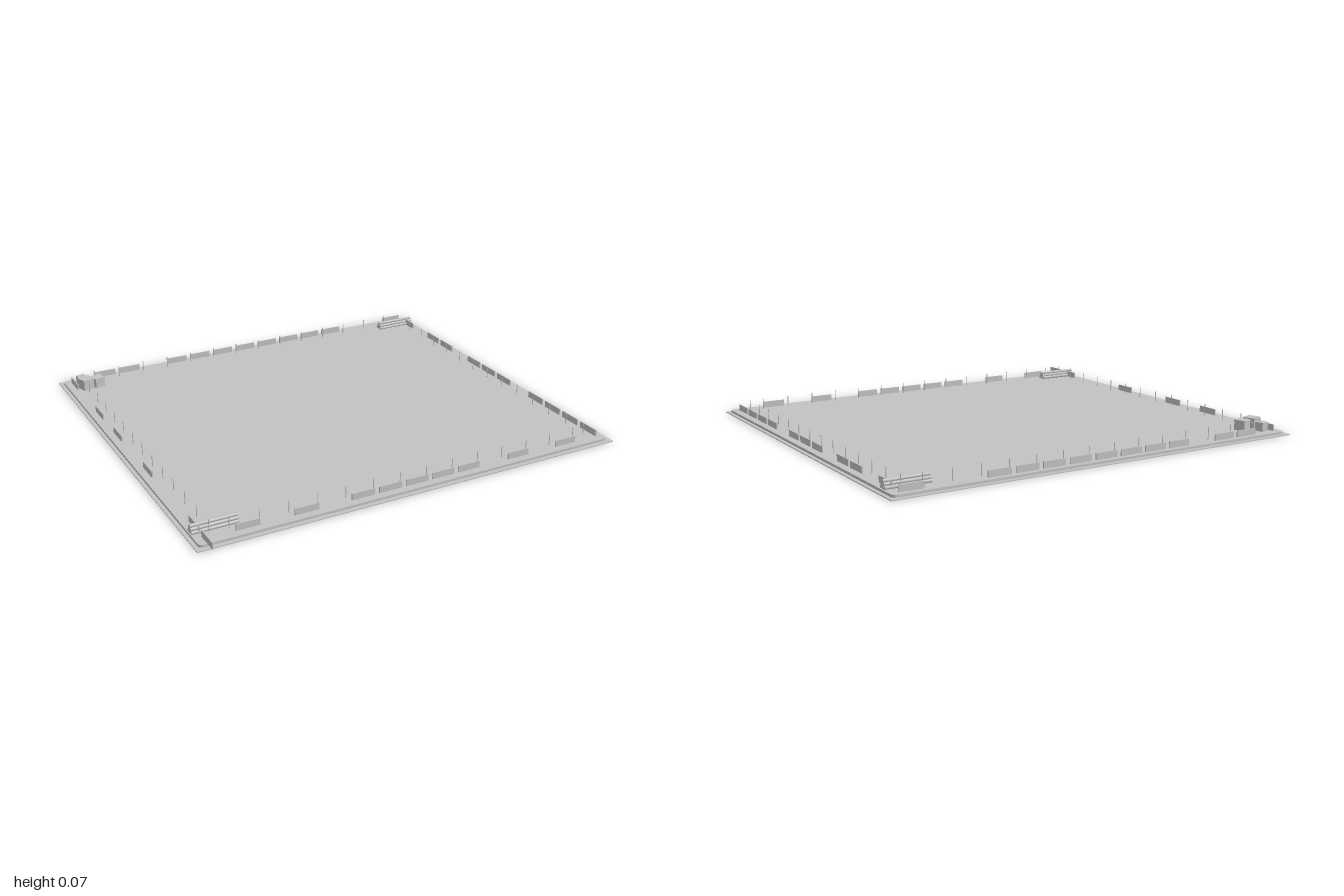
import * as THREE from 'three';

const grey = new THREE.MeshStandardMaterial({ color: 0xc2c2c2 });
grey.name = 'plain grey';

const DECK = 0.015; // height of the deck surface

function add(parent, name, geometry, x, y, z, ry = 0) {
  const mesh = new THREE.Mesh(geometry, grey);
  mesh.name = name;
  mesh.position.set(x, y, z);
  mesh.rotation.y = ry;
  parent.add(mesh);
  return mesh;
}

function group(parent, name) {
  const g = new THREE.Group();
  g.name = name;
  parent.add(g);
  return g;
}

// Rectangle with rounded corners, extruded upwards
function roundedSlab(w, d, r, h) {
  const s = new THREE.Shape();
  const x = w / 2, y = d / 2;
  s.moveTo(-x + r, -y);
  s.absarc(x - r, -y + r, r, -Math.PI / 2, 0);
  s.absarc(x - r, y - r, r, 0, Math.PI / 2);
  s.absarc(-x + r, y - r, r, Math.PI / 2, Math.PI);
  s.absarc(-x + r, -y + r, r, Math.PI, Math.PI * 1.5);
  const g = new THREE.ExtrudeGeometry(s, { depth: h, bevelEnabled: false, curveSegments: 5 });
  return g.rotateX(-Math.PI / 2);
}

export function createModel() {
  const model = new THREE.Group();
  model.name = 'fencedLot';

  // Ground sheet and raised deck
  add(model, 'ground', new THREE.BoxGeometry(2, 0.004, 1.8), 0, 0.002, 0);
  add(model, 'deck', roundedSlab(1.966, 1.76, 0.02, DECK - 0.003), 0, 0.003, 0);

  // Barrier panels: each side has a start, a fixed pitch and filled slots
  const pitch = 0.1283;
  const panel = new THREE.BoxGeometry(0.107, 0.029, 0.005);
  const sides = [
    { name: 'backBarrier', at: -0.853, start: -0.775, slots: [0, 1, 3, 4, 5, 6, 7, 8, 9, 10, 13] },
    { name: 'frontBarrier', at: 0.842, start: -0.765, slots: [0, 2, 4, 5, 6, 7, 8, 10, 12] },
    { name: 'leftBarrier', at: 0.947, start: -0.75, slots: [0, 2, 3, 5, 6, 7, 9, 10, 11, 12], along: true },
    { name: 'rightBarrier', at: -0.947, start: -0.794, slots: [0, 3, 5, 8, 12, 13], along: true },
  ];
  const barriers = group(model, 'barriers');
  for (const { name, at, start, slots, along } of sides) {
    for (const k of slots) {
      const t = start + k * pitch;
      if (along) add(barriers, name, panel, at, DECK + 0.0145, t, Math.PI / 2);
      else add(barriers, name, panel, t, DECK + 0.0145, at);
    }
  }

  // Thin posts just inside the barriers
  const post = new THREE.CylinderGeometry(0.0018, 0.0018, 0.053, 6);
  const posts = group(model, 'posts');
  for (let i = 0; i < 14; i++) {
    const x = -0.84 + i * pitch, z = -0.8 + i * 0.123;
    add(posts, 'backPost', post, x, DECK + 0.0265, -0.82);
    add(posts, 'frontPost', post, x + 0.01, DECK + 0.0265, 0.812);
    add(posts, 'leftPost', post, 0.909, DECK + 0.0265, z);
    add(posts, 'rightPost', post, -0.909, DECK + 0.0265, z);
  }

  // Pyramid piles of pipes in two opposite corners
  const r = 0.0074;
  const pipe = new THREE.CylinderGeometry(r, r, 0.2, 8).rotateZ(Math.PI / 2);
  for (const [x, z] of [[0.877, -0.783], [-0.879, 0.775]]) {
    const pile = group(model, 'pipePile');
    for (let row = 0; row < 3; row++) {
      for (let i = 0; i < 3 - row; i++) {
        add(pile, 'pipe', pipe, x, DECK + r + row * r * 1.6, z + (i - (2 - row) / 2) * 2 * r);
      }
    }
  }

  // Crates with lids in the remaining back corner: x, z, size, height, turn
  const crates = group(model, 'crates');
  for (const [x, z, s, h, turn] of [
    [-0.904, -0.752, 0.058, 0.052, 0.3],
    [-0.845, -0.754, 0.054, 0.047, 0.3],
    [-0.906, -0.813, 0.042, 0.04, 0.2],
  ]) {
    add(crates, 'crate', new THREE.BoxGeometry(s * 0.96, h - 0.008, s * 0.96), x, DECK + (h - 0.008) / 2, z, turn);
    add(crates, 'crateLid', new THREE.BoxGeometry(s, 0.008, s), x, DECK + h - 0.004, z, turn);
  }

  return model;
}
